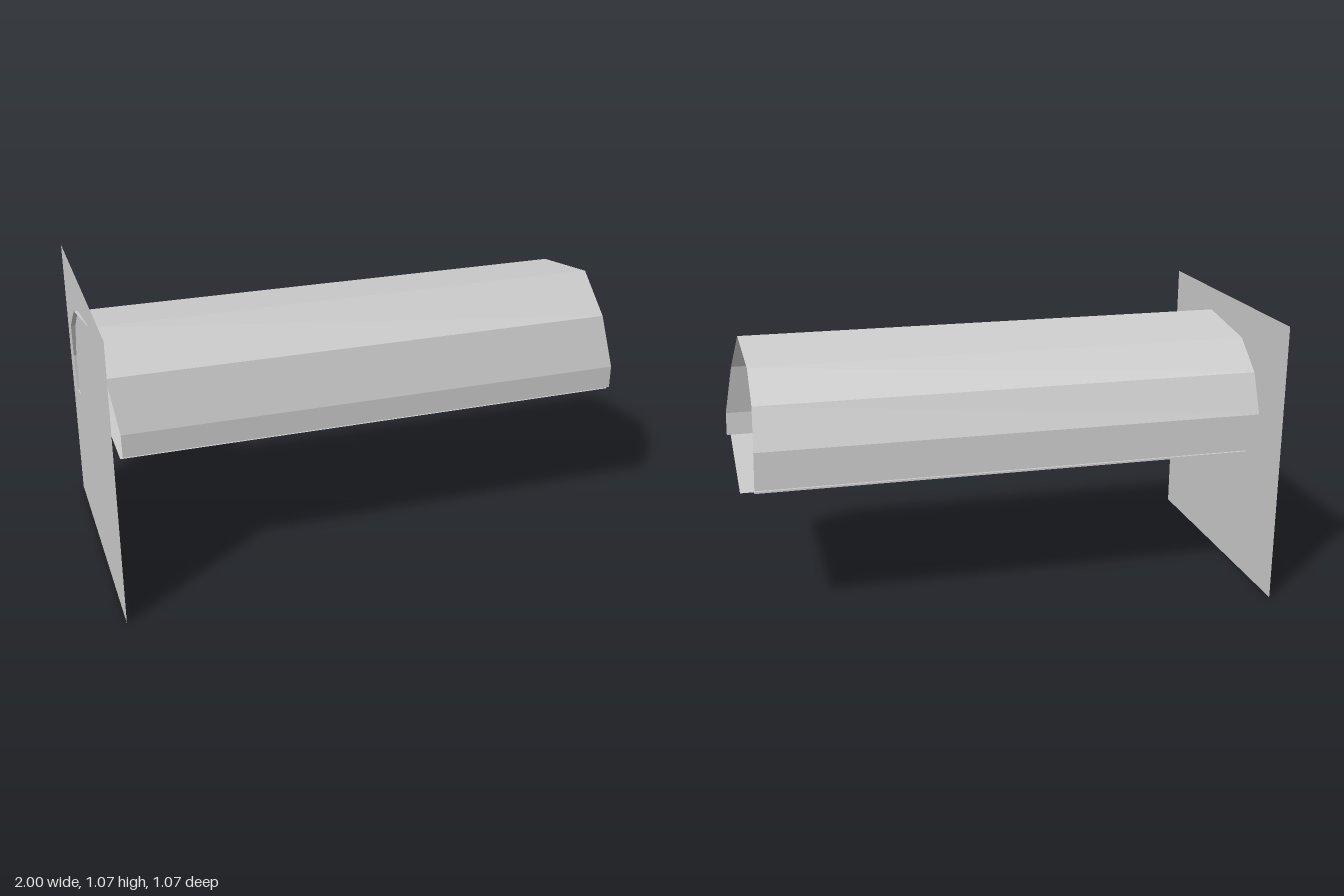
import * as THREE from 'three';

const material = new THREE.MeshStandardMaterial({ color: 0xcccccc, flatShading: true, side: THREE.DoubleSide });

// Sheet swept along -x from a cross-section whose points are [x of the open end, y, z].
function sweptSheet(profile, length) {
  const pos = [];
  for (let i = 0; i < profile.length - 1; i++) {
    const [a, b] = [profile[i], profile[i + 1]];
    const [c, d] = [a, b].map(([x, y, z]) => [x - length, y, z]);
    pos.push(...a, ...b, ...d, ...a, ...d, ...c);
  }
  const geo = new THREE.BufferGeometry();
  geo.setAttribute('position', new THREE.Float32BufferAttribute(pos, 3));
  geo.computeVertexNormals();
  return geo;
}

function addPart(group, name, geometry) {
  const mesh = new THREE.Mesh(geometry, material);
  mesh.name = name;
  group.add(mesh);
  return mesh;
}

export function createModel() {
  const group = new THREE.Group();

  // Square wall closing the -x end
  const wall = addPart(group, 'endWall', new THREE.PlaneGeometry(1.07, 1.07).rotateY(Math.PI / 2));
  wall.position.set(-0.985, 0.535, 0);

  // Flat floor
  const floor = addPart(group, 'floor', new THREE.PlaneGeometry(1.92, 0.68).rotateX(-Math.PI / 2));
  floor.position.set(0.025, 0.54, -0.013);

  // Faceted vault: front foot, over the roof, down to the back foot and its small inward lip
  addPart(group, 'vault', sweptSheet([
    [1.0, 0.54, 0.32],
    [0.998, 0.63, 0.325],
    [0.967, 0.83, 0.28],
    [0.94, 0.98, 0.165],
    [0.925, 0.935, -0.14],
    [0.923, 0.83, -0.272],
    [0.93, 0.68, -0.338],
    [0.935, 0.53, -0.345],
    [0.937, 0.53, -0.3],
  ], 1.925));

  return group;
}
